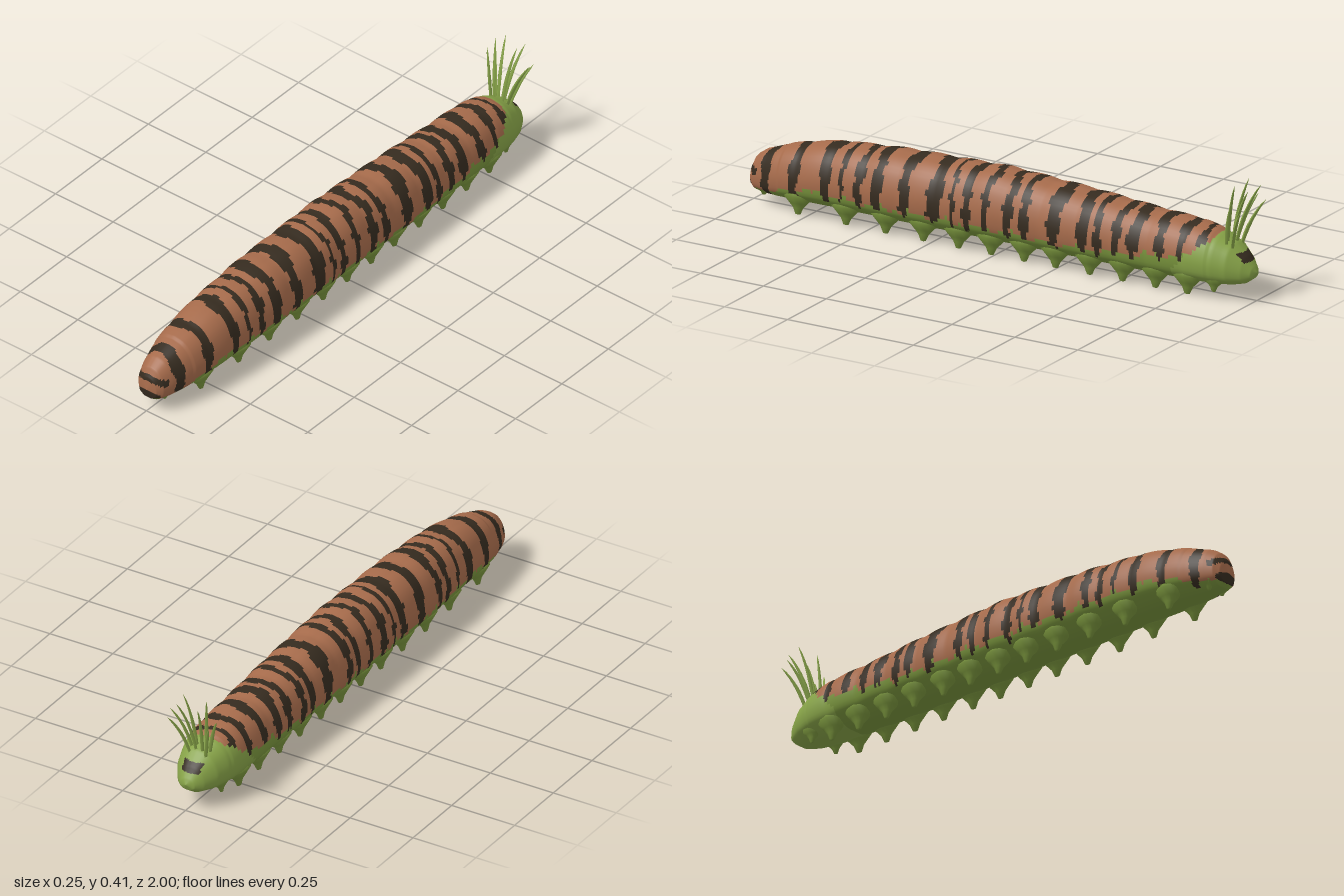
import * as THREE from 'three';

const paint = (name, color) => {
  const m = new THREE.MeshStandardMaterial({ color });
  m.name = name;
  return m;
};

// Body stations: z, half width, underside height, top height
const stations = [
  [1, 0, 0.09, 0.091], [0.993, 0.036, 0.055, 0.135], [0.975, 0.054, 0.043, 0.168], [0.94, 0.068, 0.038, 0.192],
  [0.88, 0.085, 0.038, 0.213], [0.8, 0.099, 0.04, 0.236], [0.66, 0.109, 0.042, 0.263],
  [0.4, 0.12, 0.042, 0.281], [0, 0.12, 0.042, 0.291], [-0.35, 0.117, 0.042, 0.272],
  [-0.6, 0.111, 0.042, 0.253], [-0.78, 0.106, 0.043, 0.244], [-0.87, 0.096, 0.046, 0.22],
  [-0.92, 0.08, 0.05, 0.196], [-0.965, 0.052, 0.06, 0.155], [-0.99, 0.028, 0.078, 0.12], [-1, 0, 0.1, 0.101],
];

// Half cross-section, top to bottom: share of half width, share of height
const section = [[0, 1], [0.46, 0.945], [0.81, 0.77], [1, 0.48], [0.96, 0.23], [0.72, 0.1], [0.36, 0.01], [0, 0]];

// Back stripes: centre z, half thickness
const stripes = [
  [0.905, 0.021], [0.785, 0.019], [0.655, 0.022], [0.58, 0.009], [0.515, 0.015], [0.445, 0.021], [0.33, 0.022],
  [0.212, 0.025], [0.145, 0.009], [0.085, 0.018], [0.005, 0.013], [-0.078, 0.017], [-0.14, 0.018],
  [-0.265, 0.026], [-0.37, 0.021], [-0.43, 0.016], [-0.51, 0.018], [-0.575, 0.019], [-0.67, 0.019], [-0.76, 0.015], [-0.825, 0.011],
];

const legZ = [0.785, 0.59, 0.43, 0.28, 0.14, 0.01, -0.12, -0.245, -0.38, -0.51, -0.64, -0.765, -0.865];

function stationAt(z) {
  let i = 0;
  while (i < stations.length - 2 && z < stations[i + 1][0]) i++;
  const a = stations[i], b = stations[i + 1];
  const t = (a[0] - z) / (a[0] - b[0]);
  return a.map((v, k) => THREE.MathUtils.lerp(v, b[k], t));
}

// Colour zone of a body face: 0 brown, 1 dark, 2 belly green, 3 head green
function zoneAt(x, y, z) {
  const ragged = 0.007 * Math.sin(z * 47) + 0.006 * Math.sin(z * 121 + 1);
  // marks on the face and on the blunt end
  if (z < -0.94 && Math.abs(x) < 0.036 && y > 0.137 && y < 0.168) return 1;
  if (z > 0.95) {
    if ((x / 0.047) ** 2 + ((y - 0.071) / 0.018) ** 2 < 1) return 1;
    if (Math.abs(x) < 0.062 && Math.abs(y - 0.136 + x * x * 5) < 0.011) return 1;
  }
  if (z < -0.86 + Math.max(0, 0.22 - y) * 1.1 + ragged && z < -0.72) return 3;
  const line = 0.108 - 0.05 * THREE.MathUtils.smoothstep(z, 0.72, 0.97)
    + 0.032 * THREE.MathUtils.smoothstep(-z, 0.4, 0.75) + ragged * (z > 0.9 ? 0.3 : 1);
  const wob = z + 0.006 * Math.sin(x * 40 + z * 23) + 0.004 * Math.sin(y * 75 + z * 60);
  if (y > line - 0.016) {
    for (const [c, h] of stripes) {
      const fade = y < line + 0.015 ? 0.6 : 1;
      if (Math.abs(wob - c) < h * fade) return 1;
    }
  }
  return y < line ? 2 : 0;
}

// Lofted body with a swelling for each segment
function bodyGeometry() {
  const rings = 300, half = 26;
  const curve = new THREE.CatmullRomCurve3(section.map(([x, y]) => new THREE.Vector3(x, y, 0)));
  const side = curve.getPoints(half);
  const outline = [...side, ...side.slice(1, -1).reverse().map(p => new THREE.Vector3(-p.x, p.y, 0))];
  const n = outline.length, pos = [];
  for (let r = 0; r <= rings; r++) {
    const z = Math.cos(Math.PI * r / rings);
    const [, w, lo, hi] = stationAt(z);
    const swell = 1 + 0.035 * Math.abs(Math.cos((z - 0.01) * Math.PI / 0.14)) * (Math.abs(z) < 0.85 ? 1 : 0.3);
    for (const p of outline) {
      pos.push(p.x * w * swell, lo + p.y * (hi - lo) * (1 + (swell - 1) * 0.7), z);
    }
  }
  const zones = [[], [], [], []];
  for (let r = 0; r < rings; r++) {
    for (let i = 0; i < n; i++) {
      const a = r * n + i, b = r * n + (i + 1) % n, c = a + n, d = b + n;
      const mid = k => (pos[a * 3 + k] + pos[b * 3 + k] + pos[c * 3 + k] + pos[d * 3 + k]) / 4;
      zones[zoneAt(mid(0), mid(1), mid(2))].push(a, b, c, b, d, c);
    }
  }
  const geo = new THREE.BufferGeometry();
  geo.setAttribute('position', new THREE.Float32BufferAttribute(pos, 3));
  geo.setIndex(zones.flat());
  let start = 0;
  zones.forEach((f, k) => { geo.addGroup(start, f.length, k); start += f.length; });
  geo.computeVertexNormals();
  return geo;
}

// Curved tapering blade with a diamond cross-section
function bladeGeometry(base, tip) {
  const a = new THREE.Vector3(...base), b = new THREE.Vector3(...tip);
  const bend = new THREE.Vector3(a.x * 0.65 + b.x * 0.35, a.y * 0.4 + b.y * 0.6, a.z * 0.7 + b.z * 0.3);
  const path = new THREE.QuadraticBezierCurve3(a, bend, b);
  const geo = new THREE.TubeGeometry(path, 8, 1, 4);
  const p = geo.attributes.position;
  for (let i = 0; i < p.count; i++) {
    const t = Math.floor(i / 5) / 8;
    const c = path.getPointAt(t);
    const r = 0.009 * Math.min(1, 0.65 + t) * Math.sqrt(1 - t) + 0.0004;
    const v = new THREE.Vector3().fromBufferAttribute(p, i).sub(c).multiplyScalar(r).add(c);
    p.setXYZ(i, v.x, v.y, v.z);
  }
  geo.computeVertexNormals();
  return geo;
}

export function createModel() {
  const model = new THREE.Group();
  model.name = 'caterpillar';
  const brown = paint('brown back', 0xa66b4b);
  const dark = paint('dark stripe', 0x352b1f);
  const belly = paint('belly green', 0x78933c);
  const leaf = paint('head green', 0x86a247);
  const add = (name, geo, mat, parent = model) => {
    const mesh = new THREE.Mesh(geo, mat);
    mesh.name = name;
    parent.add(mesh);
    return mesh;
  };

  add('body', bodyGeometry(), [brown, dark, belly, leaf]);

  // Stubby legs in pairs, flared wide at the root
  const legs = new THREE.Group();
  legs.name = 'legs';
  model.add(legs);
  const legProfile = [[0, -0.08], [0.01, -0.077], [0.02, -0.054], [0.037, -0.036], [0.06, -0.012], [0.055, 0.008], [0, 0.02]];
  const legGeo = new THREE.LatheGeometry(legProfile.map(p => new THREE.Vector2(...p)), 12);
  for (const z of legZ) {
    const small = z < -0.8 ? 0.7 : 1;
    const w = stationAt(z)[1];
    for (const s of [-1, 1]) {
      const leg = add('leg', legGeo, belly, legs);
      leg.position.set(s * w * 0.57, 0.08, z);
      leg.scale.set(0.68 * small, small, small);
      leg.rotation.z = s * 0.1;
    }
  }
  // Small nubs under the blunt end
  for (const s of [-1, 1]) {
    const nub = add('rearNub', legGeo, belly, legs);
    nub.position.set(s * 0.032, 0.07, 0.94);
    nub.scale.set(0.45, 0.45, 0.6);
  }

  // Tuft of blades on the head
  const tuft = new THREE.Group();
  tuft.name = 'headTuft';
  model.add(tuft);
  const blades = [
    [[0.018, 0.195, -0.895], [0.046, 0.413, -0.94]],
    [[0.012, 0.185, -0.91], [0.042, 0.4, -0.99]],
    [[0.035, 0.19, -0.9], [0.092, 0.35, -0.95]],
    [[0.03, 0.175, -0.92], [0.082, 0.335, -0.985]],
  ];
  for (const [base, tip] of blades) {
    for (const s of [-1, 1]) {
      add('blade', bladeGeometry([s * base[0], base[1], base[2]], [s * tip[0], tip[1], tip[2]]), leaf, tuft);
    }
  }
  return model;
}
